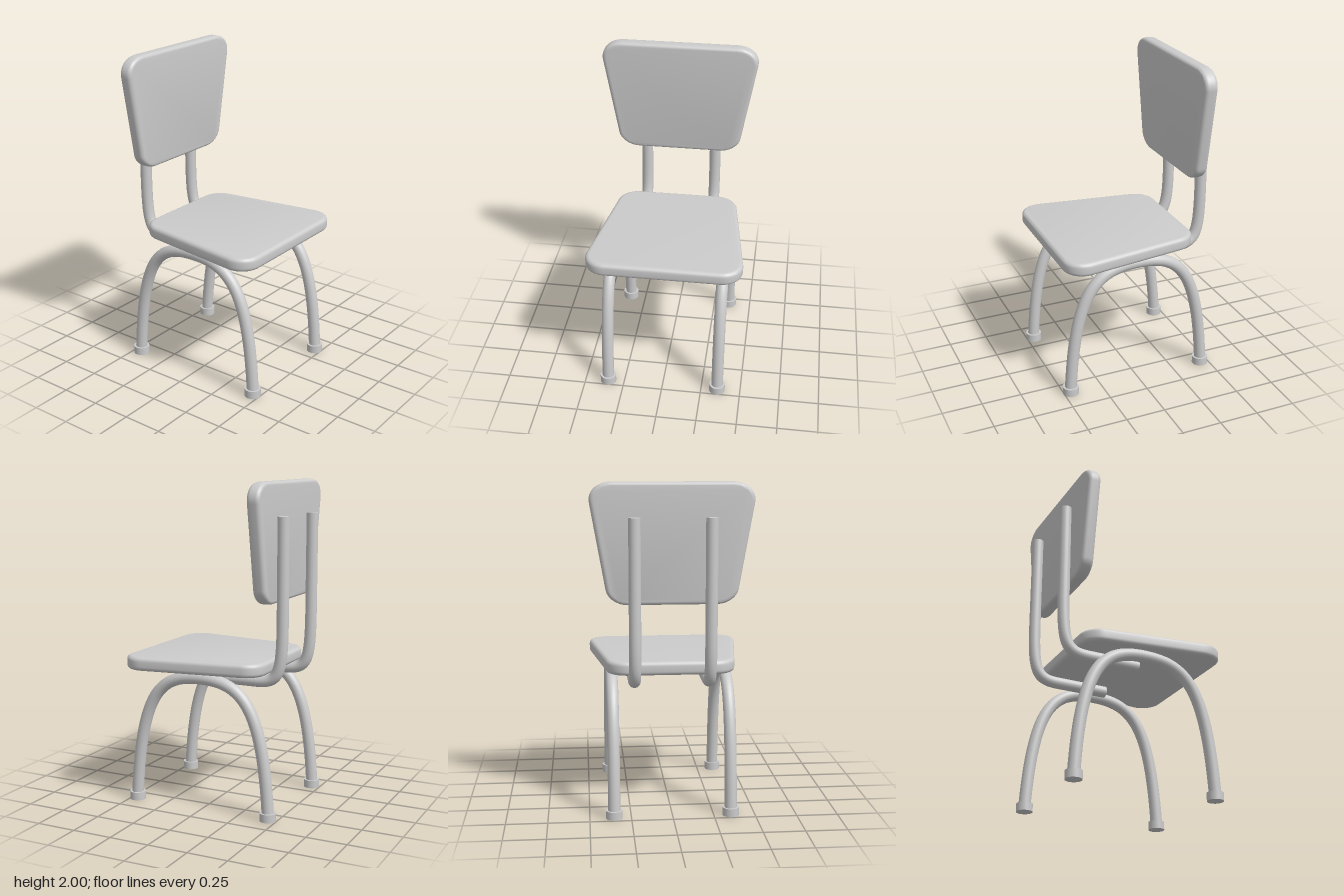
import * as THREE from 'three';
import { toCreasedNormals } from 'three/addons/utils/BufferGeometryUtils.js';

const material = new THREE.MeshStandardMaterial({ color: 0xcccccc });
const V = (x, y) => new THREE.Vector3(x, y, 0);

function addMesh(parent, name, geometry, x = 0, y = 0, z = 0) {
  const mesh = new THREE.Mesh(geometry, material);
  mesh.name = name;
  mesh.position.set(x, y, z);
  parent.add(mesh);
  return mesh;
}

// Closed outline with every corner filleted to the given radius
function roundedOutline(points, radius) {
  const shape = new THREE.Shape();
  points.forEach((p, i) => {
    const a = points[(i + points.length - 1) % points.length].clone().sub(p).normalize();
    const b = points[(i + 1) % points.length].clone().sub(p).normalize();
    const trim = radius / Math.tan(Math.acos(a.dot(b)) / 2);
    const at = (dir, d) => p.clone().addScaledVector(dir, d);
    const start = at(a, trim), end = at(b, trim);
    const c1 = at(a, trim * 0.45), c2 = at(b, trim * 0.45);
    if (i === 0) shape.moveTo(start.x, start.y);
    else shape.lineTo(start.x, start.y);
    shape.bezierCurveTo(c1.x, c1.y, c2.x, c2.y, end.x, end.y);
  });
  shape.closePath();
  return shape;
}

// Soft-edged trapezoid panel, wide end toward +x, lying flat
function panel(lengthScale) {
  const half = 0.441, thick = 0.083, bevel = 0.025;
  const corners = [[-half, -0.374], [half, -0.5], [half, 0.5], [-half, 0.374]]
    .map(([x, y]) => new THREE.Vector2(x, y));
  const geometry = new THREE.ExtrudeGeometry(roundedOutline(corners, 0.13), {
    depth: thick - 2 * bevel, bevelEnabled: true, bevelSize: bevel,
    bevelThickness: bevel, bevelOffset: -bevel, bevelSegments: 5, curveSegments: 14,
  });
  geometry.center();
  geometry.rotateX(-Math.PI / 2);
  geometry.scale(lengthScale, 1, 1);
  return toCreasedNormals(geometry, 0.6);
}

// Round tube with flat end caps
function addTube(parent, name, path, radius, segments) {
  const group = new THREE.Group();
  group.name = name;
  parent.add(group);
  addMesh(group, name + 'Pipe', new THREE.TubeGeometry(path, segments, radius, 24, false));
  for (const t of [0, 1]) {
    const cap = addMesh(group, name + 'Cap', new THREE.CircleGeometry(radius, 24));
    cap.position.copy(path.getPointAt(t));
    const outward = path.getTangentAt(t).multiplyScalar(t ? 1 : -1);
    cap.quaternion.setFromUnitVectors(new THREE.Vector3(0, 0, 1), outward);
  }
  return group;
}

export function createModel() {
  const chair = new THREE.Group();
  chair.name = 'chair';

  // Seat, and the same panel shortened and stood upright as the backrest
  addMesh(chair, 'seat', panel(1), 0.054, 0.899, 0);
  addMesh(chair, 'backrest', panel(0.806).rotateZ(Math.PI / 2), -0.393, 1.645, 0);

  // Arched leg pair: two mirrored curves meeting under the seat
  const legX = 0.005, footX = 0.451;
  const arch = new THREE.CurvePath();
  arch.add(new THREE.CubicBezierCurve3(V(-footX, 0.04), V(-0.41, 0.7), V(-0.28, 0.825), V(0, 0.825)));
  arch.add(new THREE.CubicBezierCurve3(V(0, 0.825), V(0.28, 0.825), V(0.41, 0.7), V(footX, 0.04)));

  // Back support: upright, bend, then a run under the seat
  const support = new THREE.CurvePath();
  support.add(new THREE.LineCurve3(V(-0.475, 1.8), V(-0.475, 1.2)));
  support.add(new THREE.CubicBezierCurve3(V(-0.475, 1.2), V(-0.475, 0.85), V(-0.45, 0.815), V(-0.3, 0.815)));
  support.add(new THREE.LineCurve3(V(-0.3, 0.815), V(0.02, 0.815)));

  for (const side of [-1, 1]) {
    const legs = addTube(chair, 'archedLegs', arch, 0.037, 64);
    legs.position.set(legX, 0, side * 0.353);
    for (const end of [-1, 1]) {
      addMesh(legs, 'foot', new THREE.CylinderGeometry(0.05, 0.05, 0.05, 32), end * footX, 0.025, 0);
    }
    addTube(chair, 'backSupport', support, 0.036, 72).position.z = side * 0.223;
  }
  return chair;
}
